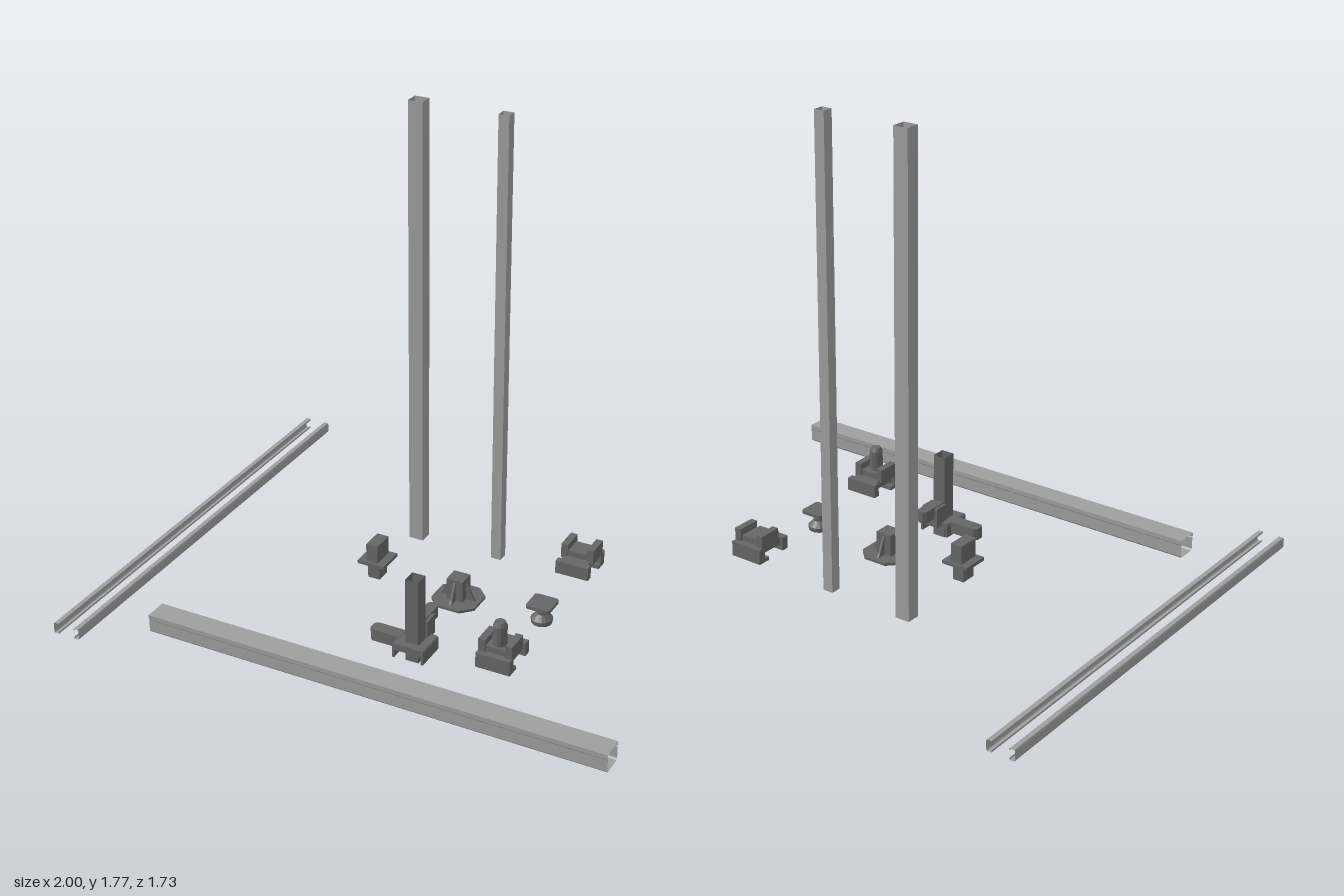
import * as THREE from 'three';

const makeMaterial = color => new THREE.MeshStandardMaterial({ color, flatShading: true, side: THREE.DoubleSide });
const railMat = makeMaterial(0x9e9e9e);
const fittingMat = makeMaterial(0x666666);

function add(parent, name, geometry, x = 0, y = 0, z = 0, material = fittingMat) {
  const m = new THREE.Mesh(geometry, material);
  m.name = name;
  m.position.set(x, y, z);
  parent.add(m);
  return m;
}

// box given by its minimum and maximum on every axis
function box(parent, name, x0, x1, y0, y1, z0, z1) {
  return add(parent, name, new THREE.BoxGeometry(x1 - x0, y1 - y0, z1 - z0),
    (x0 + x1) / 2, (y0 + y1) / 2, (z0 + z1) / 2);
}

// thin folded sheet: a 2D section swept along z, centred
function sheet(section, length) {
  const pos = [];
  const h = length / 2;
  for (let i = 0; i < section.length - 1; i++) {
    const [a, b] = section[i], [c, d] = section[i + 1];
    pos.push(a, b, h, c, d, h, c, d, -h, a, b, h, c, d, -h, a, b, -h);
  }
  const g = new THREE.BufferGeometry();
  g.setAttribute('position', new THREE.Float32BufferAttribute(pos, 3));
  g.computeVertexNormals();
  return g;
}

function squareTube(parent, name, w, d, y0, y1, x, z, material) {
  const a = w / 2, b = d / 2;
  const g = sheet([[-a, -b], [a, -b], [a, b], [-a, b], [-a, -b]], y1 - y0);
  g.rotateX(Math.PI / 2);
  return add(parent, name, g, x, (y0 + y1) / 2, z, material);
}

// flat plate with cut corners; c is the half length of each straight side
function cutCornerPlate(r, c, thickness) {
  const s = new THREE.Shape([[-c, -r], [c, -r], [r, -c], [r, c], [c, r], [-c, r], [-r, c], [-r, -c]]
    .map(([x, y]) => new THREE.Vector2(x, y)));
  return new THREE.ExtrudeGeometry(s, { depth: thickness, bevelEnabled: false }).rotateX(-Math.PI / 2);
}

// rod with a chamfered tip, pointing along +z
function chamferedArm(w, h, length) {
  const c = 0.012;
  const s = new THREE.Shape([[-w / 2, 0], [w / 2, 0], [w / 2, length - c], [w / 2 - c, length],
    [-w / 2 + c, length], [-w / 2, length - c]].map(([x, y]) => new THREE.Vector2(x, y)));
  const g = new THREE.ExtrudeGeometry(s, { depth: h, bevelEnabled: false });
  return g.rotateX(Math.PI / 2).translate(0, h / 2, 0);
}

// clamp with jaws at both ends, facing forwards or backwards
function clamp(name, side) {
  const g = new THREE.Group();
  g.name = name;
  box(g, 'clampPlate', -0.052, 0.052, 0.12, 0.148, -0.07, 0.07);
  box(g, 'outerJaw', -0.064, 0.064, 0.092, 0.148, 0.045, 0.075);
  box(g, 'innerJaw', -0.064, 0.064, 0.098, 0.148, -0.077, -0.05);
  box(g, 'outerLip', -0.064, 0.064, 0.092, 0.106, 0.025, 0.045);
  for (const s of [-1, 1]) {
    const x = s * 0.05;
    box(g, 'clampCheek', x - 0.013, x + 0.013, 0.14, 0.195, -0.03, 0.058);
  }
  box(g, 'clampBridge', -0.05, 0.05, 0.14, 0.17, -0.025, 0.05);
  g.rotation.y = side > 0 ? 0 : Math.PI;
  return g;
}

export function createModel() {
  const model = new THREE.Group();
  model.name = 'frameKit';

  // uprights
  squareTube(model, 'widePost', 0.056, 0.053, 0.05, 1.775, -0.192, -0.328, railMat);
  squareTube(model, 'slimPost', 0.04, 0.04, 0.05, 1.775, 0.137, -0.33, railMat);
  box(model, 'slimPostPlug', 0.119, 0.155, 0.051, 0.07, -0.348, -0.312);

  // long hollow beam at the front, with a shallow step near its top
  const beam = sheet([
    [-0.042, 0.12], [-0.042, 0.103], [-0.04, 0.1], [-0.04, 0.056], [-0.035, 0.05], [0.035, 0.05],
    [0.04, 0.056], [0.04, 0.1], [0.042, 0.103], [0.042, 0.12], [-0.042, 0.12]], 1.725);
  beam.rotateY(Math.PI / 2);
  add(model, 'frontBeam', beam, 0.1375, 0, 0.643, railMat);

  // pair of side rails facing each other
  const railSection = [[0.01, 0.077], [0.01, 0.07], [-0.007, 0.07], [-0.01, 0.076],
    [-0.01, 0.104], [-0.007, 0.11], [0.01, 0.11], [0.01, 0.103]];
  for (const [x, s] of [[-0.99, 1], [-0.905, -1]]) {
    add(model, 'sideRail', sheet(railSection.map(([a, b]) => [a * s, b]), 1.725), x, 0, 0, railMat);
  }

  // tube plug with a flange
  const plug = new THREE.Group();
  plug.name = 'tubePlug';
  box(plug, 'plugFlange', -0.053, 0.053, 0.122, 0.135, -0.053, 0.053);
  box(plug, 'plugTop', -0.023, 0.023, 0.135, 0.205, -0.042, 0.042);
  box(plug, 'plugBottom', -0.023, 0.023, 0.06, 0.122, -0.03, 0.03);
  plug.position.set(-0.192, 0, 0);
  model.add(plug);

  // octagonal foot with boss and four ribs
  const foot = new THREE.Group();
  foot.name = 'octagonFoot';
  add(foot, 'footPlate', cutCornerPlate(0.086, 0.045, 0.01), 0, 0.052, 0);
  box(foot, 'footBoss', -0.032, 0.032, 0.062, 0.145, -0.032, 0.032);
  const rib = new THREE.Shape([[0.03, 0.06], [0.07, 0.06], [0.06, 0.075], [0.034, 0.135], [0.03, 0.135]]
    .map(([x, y]) => new THREE.Vector2(x, y)));
  for (let i = 0; i < 4; i++) {
    const g = new THREE.ExtrudeGeometry(rib, { depth: 0.008, bevelEnabled: false });
    g.translate(0, 0, -0.004).rotateY(i * Math.PI / 2);
    add(foot, 'footRib', g);
  }
  foot.position.set(0.137, 0, 0);
  model.add(foot);

  // spool with a square head
  const spool = new THREE.Group();
  spool.name = 'spool';
  add(spool, 'spoolHead', cutCornerPlate(0.046, 0.038, 0.012), 0, 0.122, 0);
  const profile = [[0, 0.055], [0.038, 0.055], [0.04, 0.072], [0.02, 0.092], [0.02, 0.11], [0.03, 0.122]]
    .map(([x, y]) => new THREE.Vector2(x, y));
  add(spool, 'spoolBody', new THREE.LatheGeometry(profile, 16));
  spool.position.set(0.465, 0, 0);
  model.add(spool);

  // clamps, the front one carrying a stem
  const front = clamp('frontClamp', 1);
  add(front, 'clampStem', new THREE.CylinderGeometry(0.025, 0.025, 0.1, 12), 0, 0.195, 0.018);
  add(front, 'stemTip', new THREE.CylinderGeometry(0.018, 0.025, 0.015, 12), 0, 0.2525, 0.018);
  front.position.set(0.466, 0, 0.33);
  const back = clamp('backClamp', -1);
  back.position.set(0.466, 0, -0.33);
  model.add(front, back);

  // corner joint: open upright sleeve, collar and two arms
  const joint = new THREE.Group();
  joint.name = 'cornerJoint';
  squareTube(joint, 'jointSleeve', 0.05, 0.054, 0, 0.325, 0, 0);
  for (const s of [-1, 1]) {
    box(joint, 'collarSide', s * 0.043 - 0.015, s * 0.043 + 0.015, 0.05, 0.075, -0.055, 0.058);
    box(joint, 'collarEnd', -0.052, 0.052, 0.05, 0.075, s * 0.042 - 0.014, s * 0.042 + 0.014);
    box(joint, 'collarSkirt', s * 0.056 - 0.004, s * 0.056 + 0.004, 0.022, 0.07, -0.058, 0.06);
  }
  box(joint, 'armRoot', -0.033, 0.033, 0.065, 0.14, -0.085, -0.028);
  add(joint, 'backArm', chamferedArm(0.042, 0.045, 0.114), 0, 0.122, -0.028).rotation.y = Math.PI;
  add(joint, 'sideArm', chamferedArm(0.05, 0.045, 0.12), -0.053, 0.055, -0.008).rotation.y = -Math.PI / 2;
  joint.position.set(0.137, 0, 0.332);
  model.add(joint);

  return model;
}
